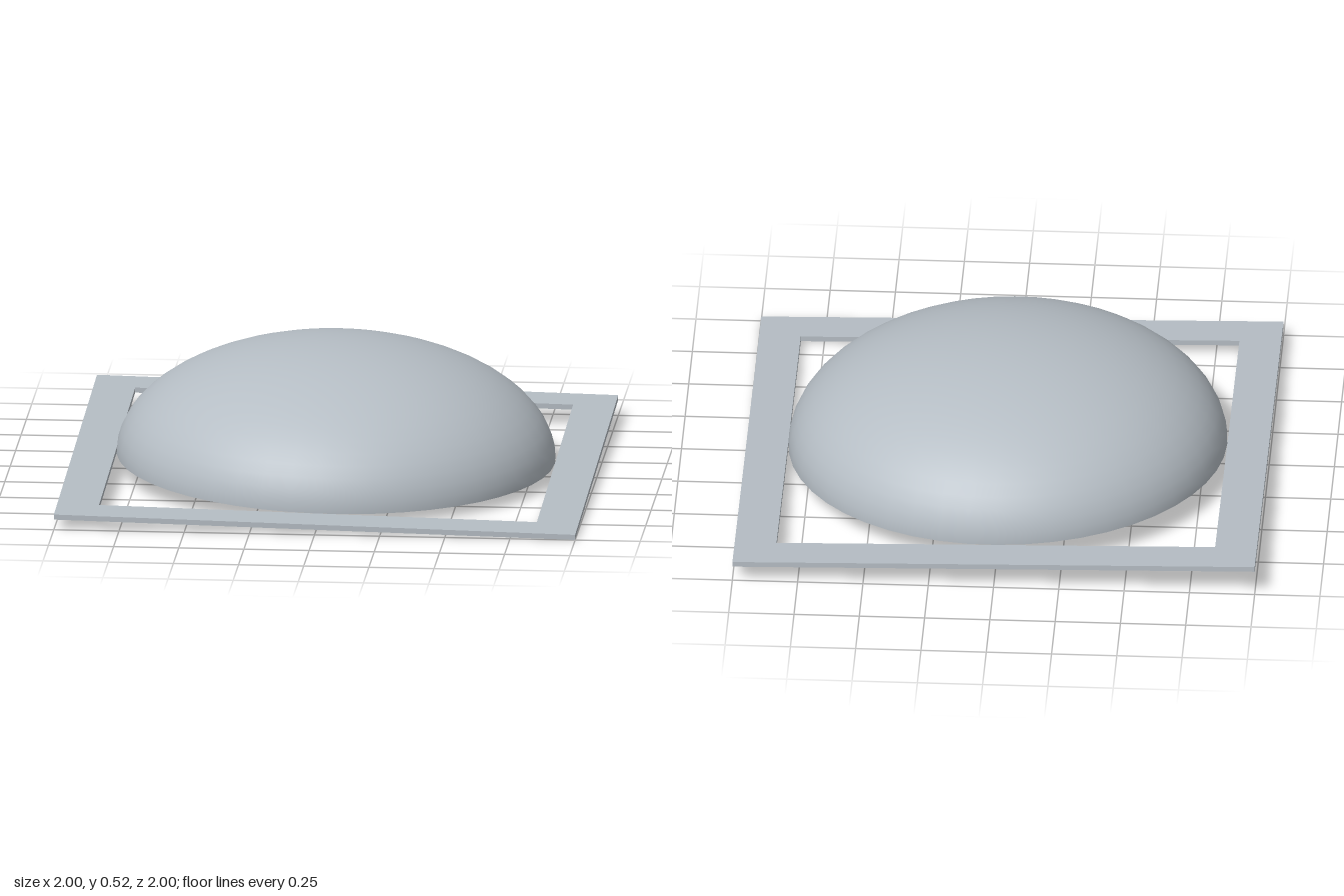
import * as THREE from 'three';

export function createModel() {
  const model = new THREE.Group();
  const paleGrey = new THREE.MeshStandardMaterial({ color: 0xb5bdc4 });
  paleGrey.name = 'paleGrey';

  const outer = 1, inner = 0.84, thick = 0.02;
  const mid = (outer + inner) / 2, width = outer - inner;

  // Everything sits on one slightly tilted plane; local y = 0 is the top of the frame
  const skylight = new THREE.Group();
  skylight.name = 'skylight';
  skylight.rotation.set(0.03, 0, -0.02);
  skylight.position.y = 0.07;
  model.add(skylight);

  const add = (name, geometry, x, y, z) => {
    const mesh = new THREE.Mesh(geometry, paleGrey);
    mesh.name = name;
    mesh.position.set(x, y, z);
    skylight.add(mesh);
    return mesh;
  };

  // Frame: full-length side bars with shorter bars between them
  const sideBar = new THREE.BoxGeometry(width, thick, outer * 2);
  const crossBar = new THREE.BoxGeometry(inner * 2, thick, width);
  add('leftBar', sideBar, mid, -thick / 2, 0);
  add('rightBar', sideBar, -mid, -thick / 2, 0);
  add('frontBar', crossBar, 0, -thick / 2, mid);
  add('backBar', crossBar, 0, -thick / 2, -mid);

  // Dome: flattened half sphere
  const dome = new THREE.SphereGeometry(inner, 48, 16, 0, Math.PI * 2, 0, Math.PI / 2);
  dome.scale(1, 0.445 / inner, 1);
  add('dome', dome, 0, 0, 0);

  // Flat underside closing the dome
  const base = new THREE.CircleGeometry(inner, 48);
  base.rotateX(Math.PI / 2);
  add('domeBase', base, 0, 0, 0);

  return model;
}
